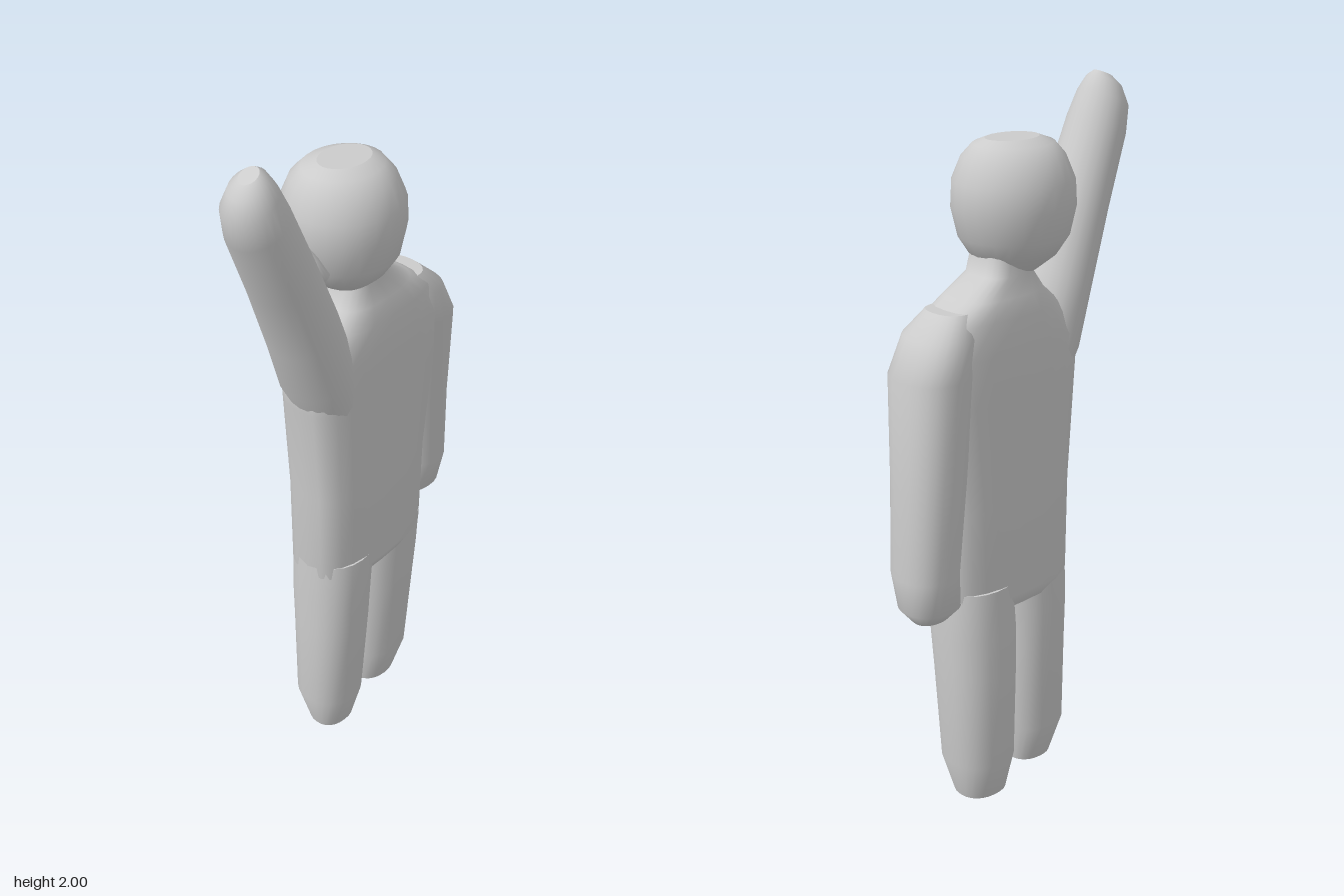
import * as THREE from 'three';

const material = new THREE.MeshStandardMaterial({ color: 0xcccccc });
const SEGMENTS = 24;

// Smooth closed body through rings listed from bottom to top: [x, y, z, halfWidth, halfDepth].
// power: 2 is an ellipse, larger is boxier. tilt leans the rings sideways, yaw turns them back on the left.
function loft(name, rings, { power = 2, tilt = 0, yaw = 0 } = {}) {
  const positions = [];
  const index = [];
  const bend = (v) => Math.sign(v) * Math.pow(Math.abs(v), 2 / power);
  const addRing = ([cx, cy, cz, rx, rz]) => {
    const start = positions.length / 3;
    for (let j = 0; j < SEGMENTS; j++) {
      const a = (j / SEGMENTS) * Math.PI * 2;
      const dx = rx * bend(Math.cos(a));
      positions.push(
        cx + dx * Math.cos(tilt),
        cy + dx * Math.sin(tilt),
        cz + rz * bend(Math.sin(a)) - yaw * dx
      );
    }
    return start;
  };
  const starts = rings.map(addRing);
  for (let i = 0; i < starts.length - 1; i++) {
    for (let j = 0; j < SEGMENTS; j++) {
      const k = (j + 1) % SEGMENTS;
      const a = starts[i] + j, b = starts[i] + k;
      const c = starts[i + 1] + j, d = starts[i + 1] + k;
      index.push(a, c, b, b, c, d);
    }
  }
  // Flat end caps with their own vertices
  [rings[0], rings[rings.length - 1]].forEach((ring, end) => {
    const start = addRing(ring);
    const centre = positions.length / 3;
    positions.push(ring[0], ring[1], ring[2]);
    for (let j = 0; j < SEGMENTS; j++) {
      const a = start + j, b = start + ((j + 1) % SEGMENTS);
      if (end === 0) index.push(centre, a, b);
      else index.push(centre, b, a);
    }
  });
  const geometry = new THREE.BufferGeometry();
  geometry.setAttribute('position', new THREE.Float32BufferAttribute(positions, 3));
  geometry.setIndex(index);
  geometry.computeVertexNormals();
  const mesh = new THREE.Mesh(geometry, material);
  mesh.name = name;
  return mesh;
}

export function createModel() {
  const model = new THREE.Group();
  model.name = 'wavingFigure';

  // Round head with a slightly flattened crown
  model.add(loft('head', [
    [0.01, 1.52, 0, 0.07, 0.07],
    [0, 1.56, 0, 0.12, 0.115],
    [0, 1.61, 0, 0.152, 0.148],
    [0, 1.69, 0, 0.173, 0.162],
    [0, 1.76, 0, 0.168, 0.16],
    [0, 1.82, 0, 0.143, 0.135],
    [0, 1.855, 0, 0.115, 0.1],
    [0.005, 1.87, 0, 0.08, 0.06],
  ]));

  // Boxy torso, sloping into the shoulders and neck
  model.add(loft('torso', [
    [0.065, 0.58, -0.005, 0.2, 0.1],
    [0.065, 0.62, -0.005, 0.225, 0.12],
    [0.067, 0.9, -0.005, 0.232, 0.122],
    [0.075, 1.2, -0.005, 0.265, 0.124],
    [0.075, 1.33, -0.003, 0.28, 0.122],
    [0.085, 1.42, -0.003, 0.215, 0.113],
    [0.075, 1.47, -0.003, 0.145, 0.098],
    [0.05, 1.52, 0, 0.085, 0.08],
    [0.04, 1.58, 0, 0.08, 0.075],
  ], { power: 3, yaw: 0.07 }));

  // Right arm, raised beside the head
  model.add(loft('raisedArm', [
    [-0.08, 1.18, 0.015, 0.08, 0.1],
    [-0.12, 1.3, 0.017, 0.105, 0.115],
    [-0.18, 1.46, 0.025, 0.1, 0.11],
    [-0.27, 1.66, 0.045, 0.093, 0.1],
    [-0.36, 1.85, 0.062, 0.089, 0.087],
    [-0.385, 1.92, 0.064, 0.078, 0.075],
    [-0.39, 1.965, 0.065, 0.055, 0.05],
    [-0.385, 1.985, 0.065, 0.03, 0.026],
  ], { tilt: 0.42, yaw: 0.05 }));

  // Soft joint where the raised arm rests against the head
  model.add(loft('armToHeadJoint', [
    [-0.13, 1.57, 0.02, 0.02, 0.03],
    [-0.155, 1.62, 0.02, 0.045, 0.07],
    [-0.175, 1.67, 0.02, 0.035, 0.05],
    [-0.178, 1.7, 0.02, 0.015, 0.025],
  ]));

  // Left arm, hanging at the side
  model.add(loft('loweredArm', [
    [0.355, 0.61, -0.06, 0.05, 0.04],
    [0.355, 0.65, -0.058, 0.083, 0.08],
    [0.365, 0.75, -0.055, 0.085, 0.095],
    [0.34, 1.0, -0.045, 0.093, 0.103],
    [0.31, 1.29, -0.025, 0.102, 0.116],
    [0.275, 1.39, -0.02, 0.085, 0.106],
    [0.235, 1.45, -0.015, 0.055, 0.07],
  ], { power: 2.3 }));

  // Two straight legs on flat feet, the right one slightly forward
  model.add(loft('rightLeg', [
    [-0.068, 0, 0.015, 0.066, 0.056],
    [-0.072, 0.12, 0.012, 0.094, 0.092],
    [-0.062, 0.4, 0.012, 0.102, 0.106],
    [-0.06, 0.52, 0.012, 0.104, 0.112],
    [-0.05, 0.66, 0.01, 0.11, 0.112],
  ], { power: 2.3 }));
  model.add(loft('leftLeg', [
    [0.17, 0, -0.045, 0.074, 0.066],
    [0.178, 0.12, -0.045, 0.1, 0.1],
    [0.177, 0.4, -0.035, 0.111, 0.112],
    [0.178, 0.52, -0.03, 0.116, 0.115],
    [0.178, 0.66, -0.02, 0.112, 0.115],
  ], { power: 2.3 }));

  return model;
}
